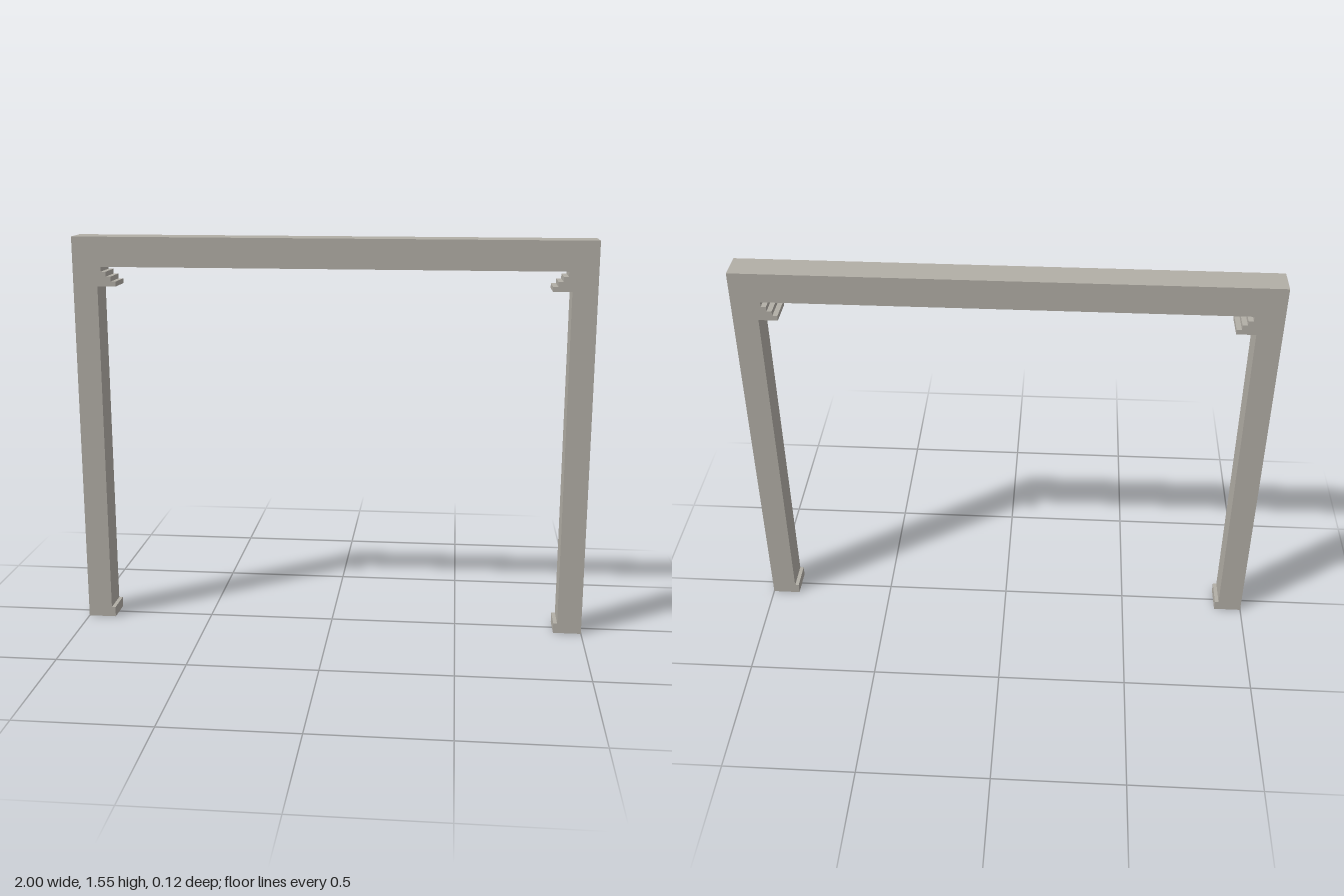
import * as THREE from 'three';

const HEIGHT = 1.55, DEPTH = 0.115;
const LINTEL_Y = 1.435;  // underside of the lintel
const LEG_X = 0.905;     // inner face of each leg
const FOOT_X = 0.89, FOOT_Y = 0.04;
const BRACKET_Y = 1.36, STEPS = 4;

export function createModel() {
  const stone = new THREE.MeshStandardMaterial({ color: 0xb2aea6 });
  stone.name = 'warm grey stone';

  // Inner outline of the right-hand half, from the ground up to the lintel
  const inner = [[1, 0], [FOOT_X, 0], [FOOT_X, FOOT_Y], [LEG_X, FOOT_Y], [LEG_X, BRACKET_Y]];

  // Stepped corner bracket, receding as it rises
  const rise = (LINTEL_Y - BRACKET_Y) / STEPS;
  for (let i = 0; i < STEPS; i++) {
    const x = 0.833 + i * 0.019;
    inner.push([x, BRACKET_Y + i * rise], [x, BRACKET_Y + (i + 1) * rise]);
  }

  // Mirror the half to close the whole portal outline
  const mirrored = inner.map(([x, y]) => [-x, y]).reverse();
  const outline = [[1, HEIGHT], ...inner, ...mirrored, [-1, HEIGHT]];
  const shape = new THREE.Shape(outline.map(([x, y]) => new THREE.Vector2(x, y)));

  const geometry = new THREE.ExtrudeGeometry(shape, { depth: DEPTH, bevelEnabled: false });
  geometry.translate(0, 0, -DEPTH / 2);

  const frame = new THREE.Mesh(geometry, stone);
  frame.name = 'doorFrame';

  const model = new THREE.Group();
  model.name = 'doorway';
  model.add(frame);
  return model;
}
